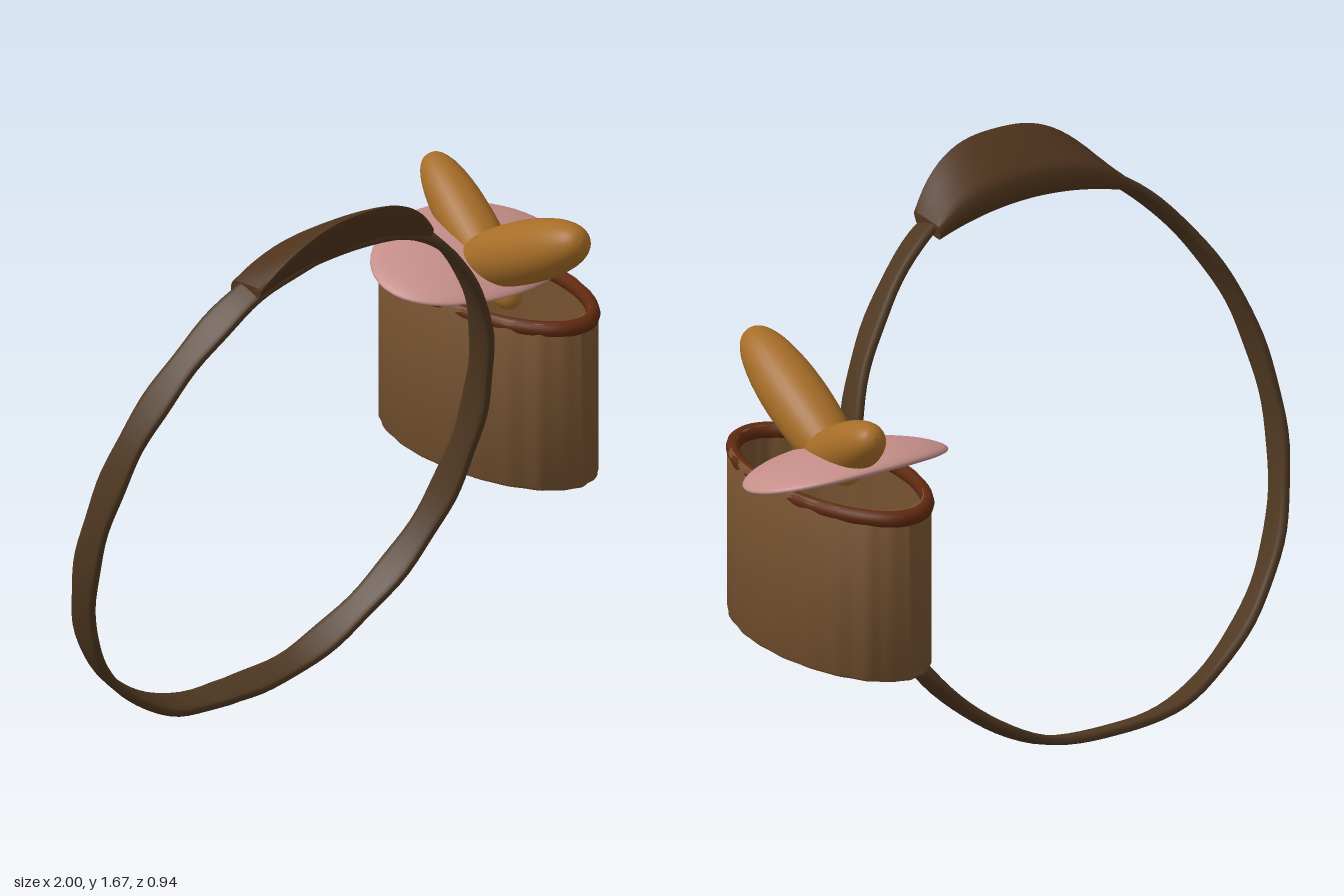
import * as THREE from 'three';
import { toCreasedNormals } from 'three/addons/utils/BufferGeometryUtils.js';

const V = (x, y, z) => new THREE.Vector3(x, y, z);

// Skin a list of equal-length point rings; closed joins the last ring to the first.
function loft(rings, closed) {
  const n = rings.length, m = rings[0].length, index = [];
  for (let i = 0; i < (closed ? n : n - 1); i++) {
    for (let j = 0; j < m; j++) {
      const k = (j + 1) % m, i2 = (i + 1) % n;
      const a = i * m + j, b = i * m + k, c = i2 * m + j, d = i2 * m + k;
      index.push(a, b, c, b, d, c);
    }
  }
  const g = new THREE.BufferGeometry().setFromPoints(rings.flat());
  g.setIndex(index);
  g.computeVertexNormals();
  return g;
}

// Upright oval ring swept from a closed profile of [inset, y]
function ovalRing(profile, rx, rz, ripple) {
  const sides = 176;
  return loft(profile.map(([inset, y]) => Array.from({ length: sides }, (_, j) => {
    const t = (j / sides) * Math.PI * 2;
    const k = 1 + ripple * (Math.cos(22 * t) + 0.5 * Math.cos(14 * t + 1));
    return V((rx - inset * 0.7) * k * Math.sin(t), y, (rz - inset) * k * Math.cos(t));
  })), true);
}

export function createModel() {
  const model = new THREE.Group();
  const add = (name, geometry, color) => {
    const mesh = new THREE.Mesh(geometry, new THREE.MeshStandardMaterial({ color }));
    mesh.name = name;
    model.add(mesh);
    return mesh;
  };

  // Strap: thin flat band along a leaning egg-shaped loop
  const half = [[0.25, 0.055], [0.5, 0.215], [0.65, 0.42], [0.715, 0.65], [0.715, 0.85],
    [0.65, 1.1], [0.5, 1.33], [0.33, 1.48], [0.15, 1.55]];
  const lean = (x, y) => V(x - 0.265, y, 0.3 * y - 0.09);
  const path = new THREE.CatmullRomCurve3([
    lean(0, 0.025), ...half.map(([x, y]) => lean(x, y)), lean(0, 1.56),
    ...half.slice().reverse().map(([x, y]) => lean(-x, y)),
  ], true);
  const axis = V(0, -0.3, 1).normalize();
  const strap = [];
  for (let i = 0; i < 120; i++) {
    const u = i / 120, p = path.getPointAt(u);
    const out = path.getTangentAt(u).cross(axis).normalize();
    const width = 0.047 + 0.003 * Math.sin(i * 0.9);
    strap.push(Array.from({ length: 16 }, (_, j) => {
      const a = (j / 16) * Math.PI * 2, c = Math.cos(a), s = Math.sin(a);
      return p.clone()
        .addScaledVector(out, 0.014 * Math.sign(c) * Math.sqrt(Math.abs(c)))
        .addScaledVector(axis, -width * Math.sign(s) * Math.sqrt(Math.abs(s)));
    }));
  }
  add('strap', loft(strap, true), 0x4e3720);

  // Pad: thick curved grip on top of the strap, closed to a point at each end
  const pad = [];
  for (let i = 0; i <= 28; i++) {
    const t = -1 + i / 14, e = Math.abs(t);
    const top = 0.16 * e ** 2.6, low = 0.05 * e * e, x = -0.265 + 0.325 * t;
    const section = new THREE.CatmullRomCurve3([
      V(x, 1.595 - top * 0.55, 0.315 - 0.02 * e * e),
      V(x, 1.675 - top, 0.47 - 0.06 * e ** 3),
      V(x, 1.59 - (top + low) / 2, 0.44 - 0.04 * e ** 3),
      V(x, 1.53 - low, 0.405 - 0.02 * e * e),
      V(x, 1.52 - low, 0.295 - 0.01 * e * e),
    ], true, 'catmullrom', 0.25);
    pad.push(section.getPoints(24).slice(0, 24));
  }
  const cap = (ring) => {
    const c = ring.reduce((s, p) => s.add(p), V(0, 0, 0)).divideScalar(ring.length);
    return ring.map(() => c.clone());
  };
  pad.unshift(cap(pad[0]));
  pad.push(cap(pad[pad.length - 1]));
  add('strapPad', toCreasedNormals(loft(pad, false), 0.7), 0x4e331c);

  // Pouch: open oval tube with a gently fluted wall
  const wall = [[0.008, 0.517], [0, 0.527], [0, 1.02], [0.008, 1.03], [0.03, 1.03], [0.03, 0.517]];
  const pouch = add('pouch', toCreasedNormals(ovalRing(wall, 0.206, 0.405, 0.006), 0.7), 0x765230);
  pouch.position.set(0.677, 0, -0.05);

  // Rim: dark rounded lip around the mouth
  const lip = Array.from({ length: 10 }, (_, i) => {
    const a = (i / 10) * Math.PI * 2;
    return [0.024 - 0.025 * Math.cos(a), 1.01 + 0.024 * Math.sin(a)];
  });
  const rim = add('pouchRim', ovalRing(lip, 0.206, 0.417, 0), 0x60290f);
  rim.position.set(0.677, 0, -0.053);

  // Meat slice: flattened oval, drooping to the sides and rising to the back
  const slice = new THREE.SphereGeometry(1, 48, 24);
  const sp = slice.attributes.position;
  for (let i = 0; i < sp.count; i++) {
    const x = sp.getX(i), y = sp.getY(i), z = sp.getZ(i);
    sp.setXYZ(i, 0.318 * x, 0.035 * y - 0.04 * x * x - 0.05 * z - 0.015 * z * z, 0.226 * z);
  }
  slice.computeVertexNormals();
  add('meatSlice', slice, 0xc48d88).position.set(0.682, 1.097, -0.135);

  // Bread rolls: tapered spindles leaning out of the pouch
  const roll = (name, tip, base, radius) => {
    const length = tip.distanceTo(base);
    const points = Array.from({ length: 25 }, (_, i) => {
      const u = i / 24, a = u * Math.PI;
      return new THREE.Vector2(radius * Math.sin(a) ** 0.8 * (0.93 + 0.12 * u),
        length * (0.5 - 0.5 * Math.cos(a)));
    });
    points[0].x = points[24].x = 0;
    const mesh = add(name, new THREE.LatheGeometry(points, 28), 0xa66d27);
    mesh.position.copy(base);
    mesh.quaternion.setFromUnitVectors(V(0, 1, 0), tip.clone().sub(base).normalize());
  };
  roll('frontRoll', V(0.645, 1.295, 0.385), V(0.68, 1.03, -0.17), 0.092);
  roll('backRoll', V(0.775, 1.26, -0.41), V(0.66, 0.99, 0.08), 0.08);

  return model;
}
